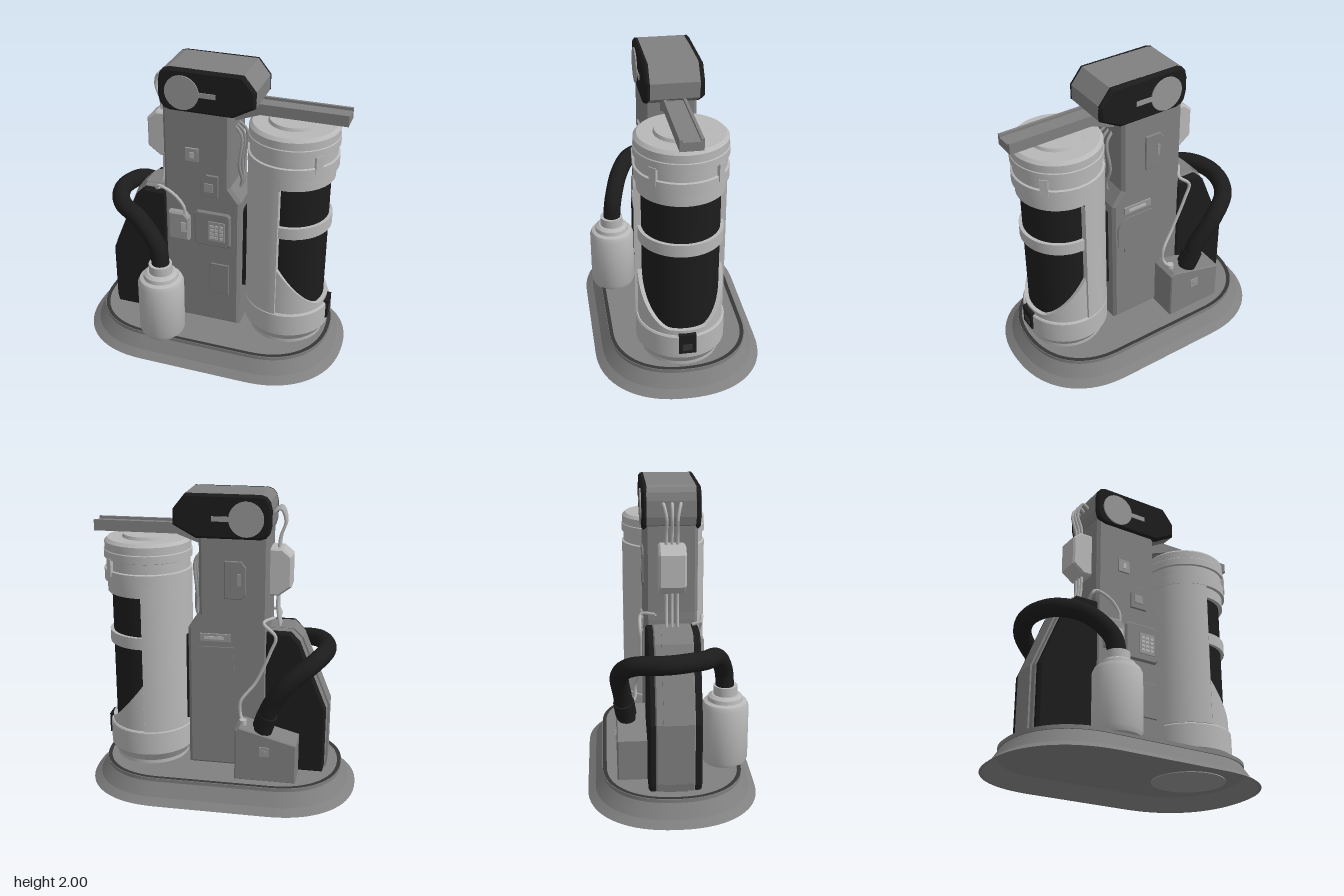
import * as THREE from 'three';
import { toCreasedNormals } from 'three/addons/utils/BufferGeometryUtils.js';

const mat = (name, color, side = THREE.FrontSide) => {
  const m = new THREE.MeshStandardMaterial({ color, side });
  m.name = name;
  return m;
};
const V3 = (x, y, z) => new THREE.Vector3(x, y, z);
const ANGLE = THREE.MathUtils.degToRad(39.5);

export function createModel() {
  const grey = mat('body grey', 0x808080), light = mat('light grey', 0xb8b8b8, THREE.DoubleSide);
  const black = mat('black', 0x1c1c1c), mid = mat('mid grey', 0x969696), dark = mat('dark grey', 0x363636);

  // The machine is built along its own x axis, then turned on the spot
  const root = new THREE.Group(), model = new THREE.Group();
  root.name = 'machine';
  model.name = 'turnedAssembly';
  model.rotation.y = -ANGLE;
  root.add(model);

  const add = (name, geo, material, x = 0, y = 0, z = 0) => {
    const m = new THREE.Mesh(geo, material);
    m.name = name;
    m.position.set(x, y, z);
    model.add(m);
    return m;
  };
  const box = (name, material, x0, x1, y0, y1, z0, z1) =>
    add(name, new THREE.BoxGeometry(x1 - x0, y1 - y0, z1 - z0), material, (x0 + x1) / 2, (y0 + y1) / 2, (z0 + z1) / 2);
  // Side profile (x, y) extruded between two z values
  const slab = (name, material, pts, z0, z1, bevel = 0) => {
    const shape = new THREE.Shape(pts.map(p => new THREE.Vector2(...p)));
    const geo = new THREE.ExtrudeGeometry(shape, {
      depth: z1 - z0 - 2 * bevel, bevelEnabled: bevel > 0, bevelSize: bevel, bevelThickness: bevel,
      bevelOffset: -bevel, bevelSegments: 1,
    });
    return add(name, geo, material, 0, 0, z0 + bevel);
  };
  const lathe = (pts, seg = 64, start = 0, len = Math.PI * 2) =>
    new THREE.LatheGeometry(pts.map(p => new THREE.Vector2(...p)), seg, start, len);
  const turned = (name, material, pts, x, z, ...arc) => add(name, toCreasedNormals(lathe(pts, ...arc), 0.5), material, x, 0, z);
  const tube = (name, material, pts, r, seg = 40, sides = 8) =>
    add(name, new THREE.TubeGeometry(new THREE.CatmullRomCurve3(pts), seg, r, sides), material);
  // Floor-plan position converted to the machine's own axes
  const C = Math.cos(ANGLE), S = Math.sin(ANGLE);
  const plan = (x, y, z) => V3(C * x + S * z, y, -S * x + C * z);

  // Long oval plinth lofted from offset outlines: straight sides, slightly squared round ends
  const soft = v => Math.sign(v) * Math.pow(Math.abs(v), 2 / 2.25);
  const outline = off => {
    const pts = [];
    for (const s of [1, -1]) {
      for (let i = 0; i <= 36; i++) {
        const t = -Math.PI / 2 + i / 36 * Math.PI;
        pts.push([s * (0.36 + (0.553 - off) * soft(Math.cos(t))), s * (0.555 - off) * soft(Math.sin(t))]);
      }
    }
    return pts;
  };
  const loft = profile => {
    const pos = [], idx = [];
    profile.forEach(([off, y, k = 1]) => outline(off).forEach(([x, z]) => pos.push(x * k, y, z * k)));
    const n = pos.length / 3 / profile.length;
    for (let i = 0; i < profile.length - 1; i++) {
      for (let j = 0; j < n; j++) {
        const a = i * n + j, b = i * n + (j + 1) % n;
        idx.push(a, a + n, b, b, a + n, b + n);
      }
    }
    const g = new THREE.BufferGeometry();
    g.setAttribute('position', new THREE.Float32BufferAttribute(pos, 3));
    g.setIndex(idx);
    return toCreasedNormals(g, 0.25);
  };
  add('plinth', loft([[0.1, 0.085, 0], [0.1, 0.085], [0.02, 0], [0, 0], [0.05, 0.04], [0.108, 0.13], [0.099, 0.13],
    [0.099, 0.154], [0.125, 0.154], [0.127, 0.15], [0.127, 0.15, 0]]), grey);
  add('plinthRim', loft([[0.101, 0.156], [0.126, 0.156]]), dark);
  add('underPlate', new THREE.CylinderGeometry(0.245, 0.245, 0.008, 40), mid, 0.5, 0.083, 0);

  // Column: wide foot stepping in to a slimmer upper part
  slab('column', grey, [[-0.315, 0.145], [0.212, 0.145], [0.212, 1.12], [0.138, 1.22], [0.138, 1.76], [-0.312, 1.76],
    [-0.312, 1.2], [-0.315, 1.15]], -0.166, 0.166, 0.02);
  box('columnSpine', black, 0.2, 0.25, 0.45, 1.05, -0.1, 0.1);

  // Head with black cheeks
  const headPts = [[-0.26, 1.72], [0.155, 1.72], [0.3, 1.8], [0.3, 1.9], [0.22, 2], [-0.26, 2], [-0.295, 1.988],
    [-0.318, 1.96], [-0.33, 1.91], [-0.33, 1.81], [-0.318, 1.76], [-0.295, 1.732]];
  slab('headCore', grey, headPts, -0.153, 0.153);
  for (const s of [-1, 1]) {
    slab('headCheek', black, headPts, s > 0 ? 0.135 : -0.182, s > 0 ? 0.182 : -0.135, 0.015);
    // Solid fill so the cheek meets the core without a groove
    slab('headCheekEdge', black, headPts, s > 0 ? 0.153 : -0.167, s > 0 ? 0.167 : -0.153);
    const hub = add('headHub', new THREE.CylinderGeometry(0.112, 0.112, 0.012, 40), mid, -0.17, 1.85, s * 0.184);
    hub.rotation.x = Math.PI / 2;
    box('headHubPointer', mid, -0.08, 0.05, 1.832, 1.864, s * 0.184 - 0.004, s * 0.184 + 0.004);
  }

  // Channel-shaped arm over the tank
  const armPts = [[0.08, 1.66], [0.14, 1.66], [0.3, 1.72], [0.85, 1.72], [0.85, 1.775], [0.28, 1.775], [0.08, 1.72]];
  slab('armWeb', grey, armPts, -0.055, 0.055);
  const railPts = armPts.map(([x, y], i) => [x, i > 3 ? y + 0.017 : y]);
  for (const s of [-1, 1]) slab('armRail', grey, railPts, s > 0 ? 0.052 : -0.07, s > 0 ? 0.07 : -0.052);

  // Tank: collars and solid back, recessed black front
  const TX = 0.508, HALF = THREE.MathUtils.degToRad(93), MID = Math.PI / 2;
  turned('tankFoot', light, [[0, 0.15], [0.25, 0.15], [0.25, 0.175], [0.288, 0.235], [0.288, 0.39], [0.28, 0.4], [0.24, 0.4]], TX, 0);
  turned('tankBackShell', light, [[0.24, 0.4], [0.288, 0.4], [0.288, 1.41], [0.24, 1.41]], TX, 0,
    40, MID + HALF, Math.PI * 2 - 2 * HALF);
  for (const s of [-1, 1]) {
    const a = s * HALF;
    const edge = add('tankWindowEdge', new THREE.PlaneGeometry(0.05, 0.93), light, TX + 0.265 * Math.cos(a), 0.865, 0.265 * Math.sin(a));
    edge.rotation.y = -a;
  }
  turned('tankPanel', black, [[0.245, 0.4], [0.245, 1.33]], TX, 0);
  turned('tankBelt', light, [[0.24, 0.98], [0.268, 0.98], [0.268, 1.06], [0.24, 1.06]], TX, 0);
  const sill = lathe([[0.272, 0.39], [0.272, 0.5], [0.243, 0.5]], 48, MID - HALF, 2 * HALF);
  const p = sill.attributes.position;
  for (let i = 0; i < p.count; i++) {
    if (p.getY(i) < 0.45) continue;
    const a = Math.abs(Math.atan2(p.getZ(i), p.getX(i))) * 180 / Math.PI;
    p.setY(i, 0.435 + 0.3 * Math.pow(Math.max(0, a - 24) / 69, 1.5));
  }
  add('tankSill', toCreasedNormals(sill, 0.6), light, TX);
  turned('tankCollar', light, [[0.24, 1.33], [0.272, 1.33], [0.272, 1.405], [0.29, 1.41], [0.29, 1.485], [0.277, 1.49],
    [0.277, 1.555], [0.29, 1.56], [0.29, 1.61], [0.285, 1.615], [0.285, 1.665], [0.265, 1.685], [0.168, 1.685],
    [0.16, 1.705], [0, 1.705]], TX, 0);
  for (const s of [-1, 1]) {
    const a = s * 0.77;
    const clip = add('tankClip', new THREE.BoxGeometry(0.025, 0.115, 0.05), light, TX + 0.282 * Math.cos(a), 1.51, 0.282 * Math.sin(a));
    clip.rotation.y = -a;
  }
  box('tankLatch', black, 0.74, 0.804, 0.275, 0.415, -0.055, 0.055);
  box('tankLatchPull', dark, 0.8, 0.809, 0.3, 0.345, -0.03, 0.03);

  // Rear pack with black cheeks
  const packPts = [[-0.3, 0.145], [-0.695, 0.145], [-0.705, 0.2], [-0.705, 0.6], [-0.52, 1.06], [-0.46, 1.12], [-0.3, 1.12]];
  slab('packCore', grey, packPts.map(([x, y]) => [x < -0.4 ? x - 0.006 : x, y + 0.004]), -0.125, 0.125, 0.01);
  for (const s of [-1, 1]) {
    slab('packCheek', black, packPts, s > 0 ? 0.11 : -0.168, s > 0 ? 0.168 : -0.11, 0.015);
  }
  slab('packSpine', grey, packPts.map(([x, y]) => [x < -0.4 ? x - 0.018 : x, y + 0.006]), -0.075, 0.075);

  // Hose box beside the column
  slab('hoseBox', grey, [[-0.535, 0.145], [-0.13, 0.145], [-0.13, 0.5], [-0.16, 0.52], [-0.535, 0.42]], -0.36, -0.15, 0.008);
  box('hoseBoxSocket', mid, -0.36, -0.295, 0.33, 0.395, -0.368, -0.35);
  box('hoseBoxSocketHole', mid, -0.34, -0.315, 0.35, 0.375, -0.373, -0.36);

  // Bottle and its hose
  const b = plan(-0.443, 0, 0.1);
  turned('bottle', light, [[0, 0.145], [0.14, 0.145], [0.155, 0.18], [0.155, 0.545], [0.142, 0.575], [0.117, 0.585],
    [0.112, 0.61], [0.09, 0.625], [0.078, 0.625], [0.078, 0.685], [0.05, 0.685]], b.x, b.z, 40);
  tube('hose', black, [plan(-0.44, 0.66, 0.1), plan(-0.45, 0.8, 0.07), plan(-0.52, 0.94, -0.07), plan(-0.585, 0.985, -0.26),
    plan(-0.51, 0.99, -0.47), plan(-0.32, 0.96, -0.595), plan(-0.16, 0.85, -0.565), plan(-0.07, 0.66, -0.47),
    plan(-0.05, 0.47, -0.42)], 0.06, 80, 20);
  const cuff = add('hoseCuff', new THREE.CylinderGeometry(0.069, 0.069, 0.1, 24), black);
  cuff.position.copy(plan(-0.057, 0.56, -0.44));
  cuff.quaternion.setFromUnitVectors(V3(0, 1, 0), plan(-0.03, 0.19, -0.06).normalize());

  // Fittings on the bottle side of the column
  slab('keypadPlate', grey, [[-0.1, 0.79], [-0.08, 0.77], [0.13, 0.77], [0.15, 0.79], [0.15, 1.01], [0.13, 1.03],
    [-0.08, 1.03], [-0.1, 1.01]], 0.15, 0.184, 0.01);
  box('keypad', mid, 0, 0.115, 0.82, 0.965, 0.17, 0.191);
  for (let r = 0; r < 4; r++) {
    for (let c = 0; c < 3; c++) {
      const x = 0.012 + c * 0.034, y = 0.837 + r * 0.029;
      box('key', light, x, x + 0.024, y, y + 0.018, 0.186, 0.195);
    }
  }
  slab('lowerHatch', grey, [[0.01, 0.39], [0.14, 0.39], [0.14, 0.63], [0.01, 0.63], [0, 0.61], [0, 0.41]], 0.15, 0.173, 0.005);
  slab('gaugePlate', grey, [[-0.06, 1.14], [0.065, 1.14], [0.065, 1.3], [-0.02, 1.3], [-0.06, 1.25]], 0.15, 0.177, 0.005);
  box('gauge', mid, -0.03, 0.03, 1.18, 1.24, 0.165, 0.184);
  box('hook', mid, -0.155, -0.07, 1.385, 1.475, 0.15, 0.18);
  box('hookTab', light, -0.125, -0.1, 1.41, 1.45, 0.17, 0.185);
  slab('cableBox', mid, [[-0.27, 0.8], [-0.13, 0.8], [-0.13, 0.97], [-0.16, 1.005], [-0.27, 1.005]], 0.15, 0.215, 0.01);
  box('cableBoxButton', light, -0.18, -0.145, 0.87, 0.94, 0.2, 0.221);

  // Fittings on the opposite side
  slab('upperHatch', grey, [[-0.17, 1.36], [-0.14, 1.33], [-0.03, 1.33], [-0.03, 1.58], [-0.14, 1.58], [-0.17, 1.54]], -0.178, -0.15, 0.005);
  box('upperHatchPull', mid, -0.135, -0.115, 1.42, 1.5, -0.183, -0.17);
  box('sideHandle', mid, -0.075, 0.13, 1.04, 1.09, -0.178, -0.15);
  box('sideHandleGrip', light, -0.03, 0.1, 1.055, 1.075, -0.183, -0.17);
  const door = new THREE.Shape();
  door.moveTo(0.0, 0.72);
  door.lineTo(0.13, 0.72);
  door.lineTo(0.13, 0.75);
  door.lineTo(0.18, 0.78);
  door.lineTo(0.18, 0.93);
  door.quadraticCurveTo(0.16, 1.0, 0.08, 1.0);
  door.lineTo(-0.09, 1.0);
  door.lineTo(-0.1, 0.8);
  door.quadraticCurveTo(-0.08, 0.72, 0, 0.72);
  add('roundedDoor', new THREE.ExtrudeGeometry(door, { depth: 0.02, bevelEnabled: false }), grey, 0, 0, -0.175);

  // Junction box on the back of the column, with its cables
  slab('junctionBox', light, [[-0.3, 1.34], [-0.37, 1.34], [-0.45, 1.4], [-0.45, 1.6], [-0.39, 1.65], [-0.3, 1.65]], -0.085, 0.085, 0.012);
  for (let i = -1; i <= 1; i++) {
    const z = i * 0.035;
    tube('headCable', light, [V3(-0.32, 1.87, z * 1.6), V3(-0.37, 1.9, z * 1.5), V3(-0.4, 1.82, z), V3(-0.37, 1.72, z), V3(-0.36, 1.63, z)], 0.01);
    tube('packCable', light, [V3(-0.36, 1.36, z), V3(-0.36, 1.25, z), V3(-0.38, 1.1, z)], 0.01);
    tube('tankCable', mid, [V3(0.12, 1.62, z), V3(0.18, 1.55, z * 1.5), V3(0.17, 1.35, z * 2), V3(0.18, 1.22, z), V3(0.16, 1.15, z)], 0.01);
  }
  tube('bottleSideCable', light, [V3(-0.35, 1.13, 0.13), V3(-0.36, 1.15, 0.18), V3(-0.34, 1.175, 0.19), V3(-0.24, 1.14, 0.2),
    V3(-0.168, 1.06, 0.2), V3(-0.155, 0.98, 0.195)], 0.011);
  tube('hoseSideCable', light, [V3(-0.35, 1.2, -0.1), V3(-0.29, 1.185, -0.19), V3(-0.37, 1.1, -0.2), V3(-0.34, 1.0, -0.2),
    V3(-0.245, 0.78, -0.2), V3(-0.15, 0.65, -0.23), V3(-0.15, 0.56, -0.23), V3(-0.18, 0.5, -0.27)], 0.011, 60);
  add('cablePlug', new THREE.CylinderGeometry(0.024, 0.024, 0.05, 16), light, -0.175, 0.52, -0.28);

  return root;
}
